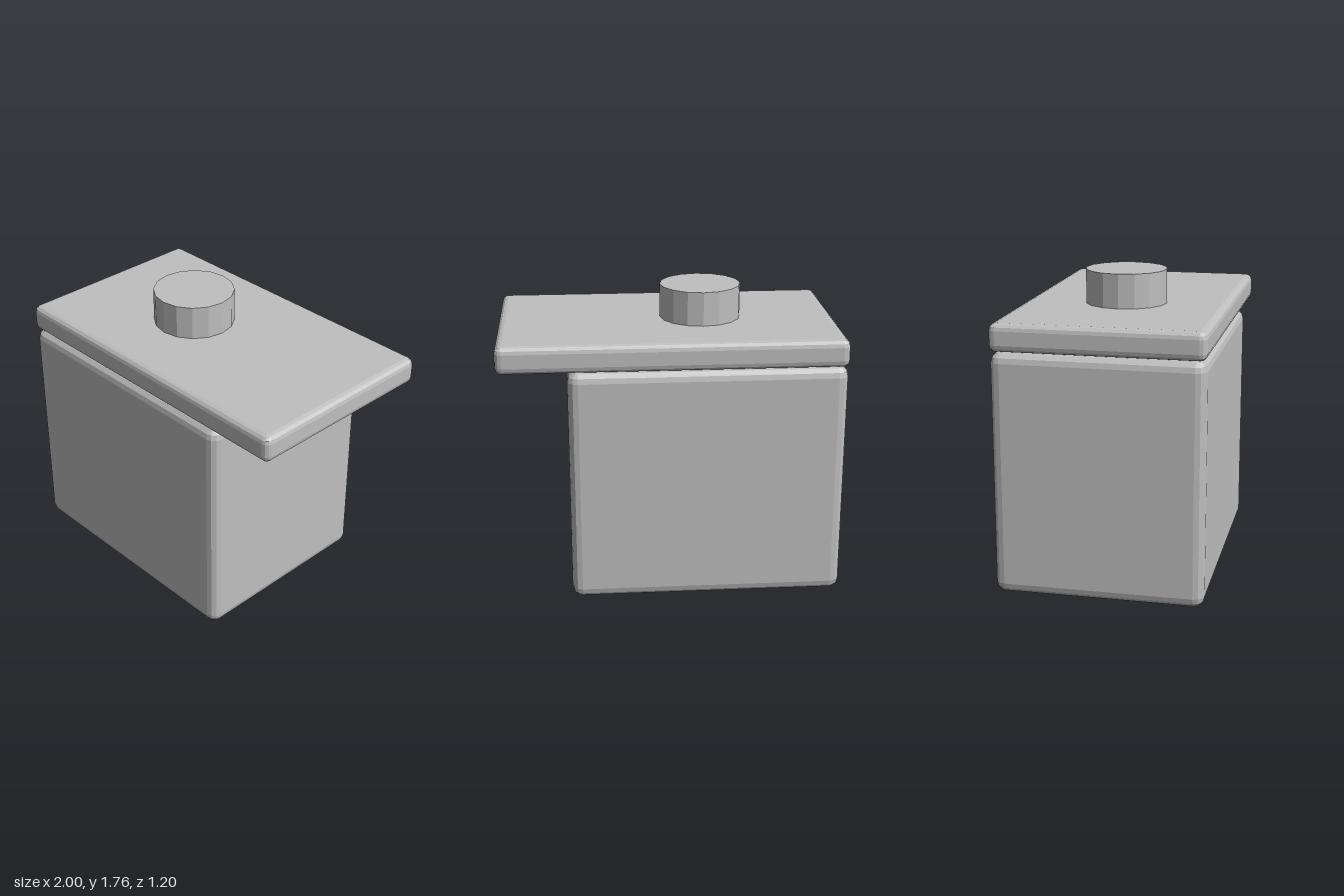
import * as THREE from 'three';
import { ConvexGeometry } from 'three/addons/geometries/ConvexGeometry.js';

// Box with faceted round edges: the hull of an eighth-sphere at each corner
function bevelledBox(w, h, d, r, steps = 3) {
  const points = [];
  for (const sx of [-1, 1]) for (const sy of [-1, 1]) for (const sz of [-1, 1]) {
    for (let i = 0; i <= steps; i++) {
      const a = (i / steps) * Math.PI / 2;
      const turns = i === steps ? 0 : steps;
      for (let j = 0; j <= turns; j++) {
        const b = (j / steps) * Math.PI / 2;
        points.push(new THREE.Vector3(
          sx * (w / 2 - r + r * Math.cos(a) * Math.cos(b)),
          sy * (h / 2 - r + r * Math.sin(a)),
          sz * (d / 2 - r + r * Math.cos(a) * Math.sin(b))
        ));
      }
    }
  }
  return new ConvexGeometry(points);
}

export function createModel() {
  const group = new THREE.Group();
  const grey = new THREE.MeshStandardMaterial({ color: 0xbfbfbf, flatShading: true });
  grey.name = 'grey';

  const add = (name, geometry, x, y) => {
    const mesh = new THREE.Mesh(geometry, grey);
    mesh.name = name;
    mesh.position.set(x, y, 0);
    group.add(mesh);
  };

  // Cabinet body, flush with the slab on one side
  add('body', bevelledBox(1.6, 1.4, 1.2, 0.06), -0.2, 0.7);
  // Overhanging top slab
  add('topSlab', bevelledBox(2, 0.16, 1.2, 0.04), 0, 1.48);
  // Short sixteen-sided drum, centred over the body
  add('drum', new THREE.CylinderGeometry(0.24, 0.24, 0.2, 16), -0.2, 1.66);

  return group;
}
